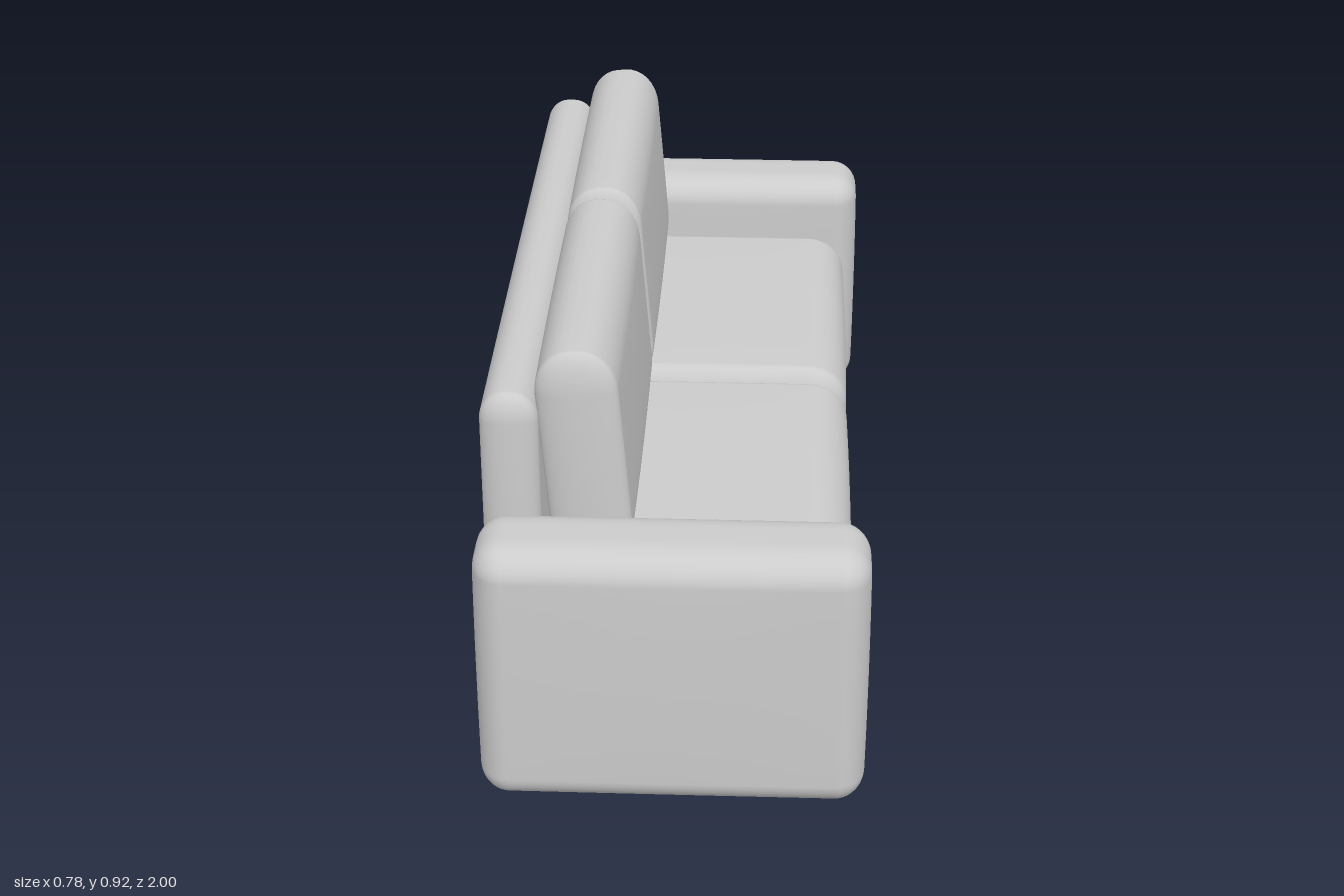
import * as THREE from 'three';
import { mergeVertices } from 'three/addons/utils/BufferGeometryUtils.js';

const material = new THREE.MeshStandardMaterial({ color: 0xcccccc });

// Upholstered block: a box with elliptical edge rounding and slightly puffed faces
// size, radius and puff are given per axis as [x, y, z]
function cushionGeometry(size, radius, puff) {
  const box = new THREE.BoxGeometry(2, 2, 2, 14, 14, 14);
  box.deleteAttribute('uv');
  box.deleteAttribute('normal');
  const geometry = mergeVertices(box);
  const pos = geometry.attributes.position;
  const flat = 3 / 7; // share of the grid used by the flat middle

  for (let i = 0; i < pos.count; i++) {
    const grid = [pos.getX(i), pos.getY(i), pos.getZ(i)];
    // how far each coordinate reaches into the rounded edge, 0 to 1
    const edge = grid.map((t) => Math.tan((Math.PI / 4) * Math.max(0, (Math.abs(t) - flat) / (1 - flat))));
    const length = Math.hypot(...edge);
    const unit = grid.map((t, a) => {
      const half = size[a] / 2;
      const inner = Math.min(1, Math.abs(t) / flat) * (half - radius[a]);
      return (Math.sign(t) * (inner + (radius[a] * edge[a]) / length)) / half;
    });
    const p = unit.map((u, a) => {
      const v = unit[(a + 1) % 3], w = unit[(a + 2) % 3];
      const drop = 1 - (1 - v * v) * (1 - w * w);
      return u * (size[a] / 2) * (1 - puff[a] * drop);
    });
    pos.setXYZ(i, ...p);
  }
  geometry.computeVertexNormals();
  return geometry;
}

// Places a block by its lower and upper corners
function block(name, min, max, radius, puff) {
  const size = max.map((v, i) => v - min[i]);
  const mesh = new THREE.Mesh(cushionGeometry(size, radius, puff), material);
  mesh.name = name;
  mesh.position.set(...max.map((v, i) => (v + min[i]) / 2));
  return mesh;
}

export function createModel() {
  const sofa = new THREE.Group();
  sofa.name = 'sofa';

  // Base under the seat and the upright back panel
  sofa.add(
    block('base', [-0.22, 0, -0.79], [0.367, 0.275, 0.79], [0.1, 0.11, 0.035], [0.02, 0.07, 0.005]),
    block('backPanel', [-0.388, 0.025, -0.79], [-0.262, 0.832, 0.79], [0.055, 0.06, 0.03], [0.08, 0.003, 0.008])
  );

  // Arm, seat cushion and back cushion on each side
  for (const side of [-1, 1]) {
    const label = side > 0 ? 'Left' : 'Right';
    const span = (a, b) => (side > 0 ? [a, b] : [-b, -a]);

    const [a0, a1] = span(0.783, 1);
    sofa.add(block('arm' + label, [-0.388, 0.018, a0], [0.388, 0.6, a1], [0.06, 0.06, 0.075], [0.006, 0.003, 0.05]));

    const [s0, s1] = span(0.002, 0.773);
    sofa.add(block('seatCushion' + label, [-0.24, 0.265, s0], [0.357, 0.48, s1], [0.09, 0.09, 0.045], [0.01, 0.04, 0.006]));

    const [b0, b1] = span(0.002, 0.775);
    const back = block('backCushion' + label, [-0.265, 0.435, b0], [-0.093, 0.918, b1], [0.075, 0.09, 0.03], [0.05, 0.004, 0.006]);
    back.position.x = -0.18;
    back.rotation.z = 0.08; // leans on the back panel
    sofa.add(back);
  }
  return sofa;
}
